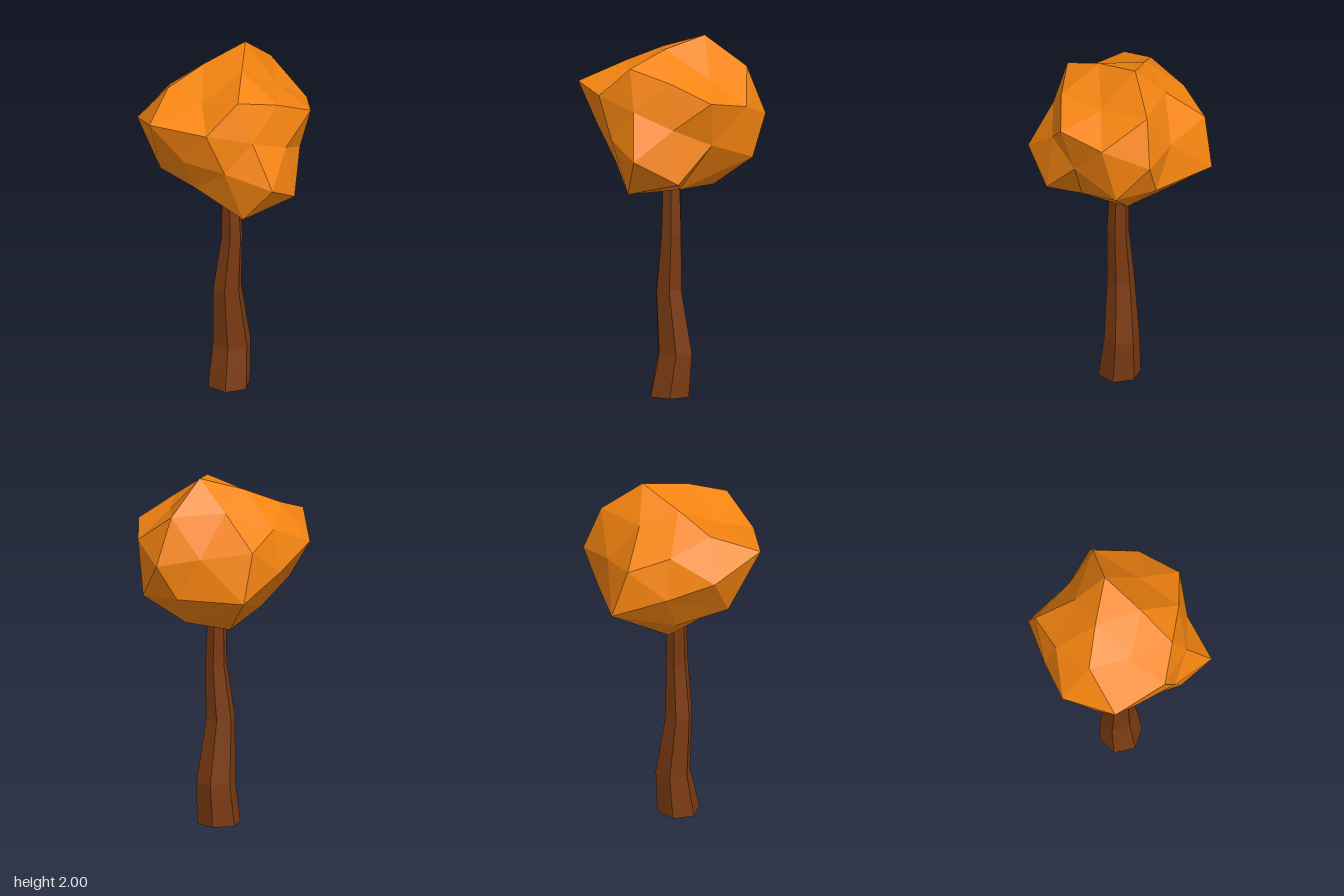
import * as THREE from 'three';
import { ConvexGeometry } from 'three/addons/geometries/ConvexGeometry.js';

// Corners of the faceted crown, spread around its centre
const CROWN_CENTRE = new THREE.Vector3(0, 1.55, 0);
const CROWN_CORNERS = [
  // top
  [0.135, 2, -0.14], [-0.11, 1.915, -0.07], [-0.315, 1.82, 0], [0.017, 1.865, 0.34],
  [0.075, 1.95, 0.115], [0.3, 1.825, -0.3], [0.245, 1.8, 0.26], [0.29, 1.79, -0.01],
  [-0.155, 1.79, 0.17], [0, 1.83, -0.253], [-0.265, 1.73, -0.23],
  // left side
  [0.45, 1.7, 0.155], [0.47, 1.65, -0.11], [0.385, 1.565, -0.36], [0.447, 1.355, -0.185],
  [0.4, 1.455, 0.095], [0.29, 1.55, 0.29],
  // front
  [0.09, 1.64, 0.39], [-0.165, 1.7, 0.39], [0.185, 1.39, 0.495], [-0.065, 1.47, 0.4],
  // right side
  [-0.455, 1.72, 0.237], [-0.473, 1.615, -0.08], [-0.27, 1.5, 0.28], [-0.37, 1.375, 0.08],
  [-0.3, 1.5, -0.28],
  // back
  [-0.085, 1.38, -0.497], [-0.138, 1.65, -0.427], [0.145, 1.6, -0.365], [0.27, 1.37, -0.34],
  // underside
  [0.338, 1.255, 0.3], [0.04, 1.175, 0.38], [-0.035, 1.12, -0.08], [0.21, 1.18, -0.13],
  [-0.2, 1.31, 0.22], [-0.2, 1.27, -0.15], [0.21, 1.19, 0.15],
].map(p => new THREE.Vector3(...p));

// Triangulate the corner directions on a sphere, then push each corner out to its place
function crownGeometry() {
  const dirs = CROWN_CORNERS.map(p => p.clone().sub(CROWN_CENTRE).normalize());
  const geo = new ConvexGeometry(dirs);
  const pos = geo.attributes.position;
  const v = new THREE.Vector3();
  for (let i = 0; i < pos.count; i++) {
    v.fromBufferAttribute(pos, i);
    const k = dirs.findIndex(d => d.distanceTo(v) < 1e-4);
    const p = CROWN_CORNERS[k];
    pos.setXYZ(i, p.x, p.y, p.z);
  }
  geo.computeVertexNormals();
  return geo;
}

// Trunk rings from the ground up: height, centre x, centre z, half width x, half width z
const TRUNK_RINGS = [
  [0, 0.02, 0.018, 0.122, 0.119],
  [0.24, 0.038, -0.005, 0.11, 0.095],
  [0.59, 0.01, 0.015, 0.082, 0.074],
  [0.9, 0.035, 0.02, 0.061, 0.063],
  [1.22, 0.03, 0.015, 0.051, 0.053],
];

// Six-sided column bent and tapered ring by ring
function trunkGeometry() {
  const last = TRUNK_RINGS.length - 1;
  const geo = new THREE.CylinderGeometry(1, 1, last, 6, last, false, -0.33);
  const pos = geo.attributes.position;
  for (let i = 0; i < pos.count; i++) {
    const [y, cx, cz, rx, rz] = TRUNK_RINGS[Math.round(pos.getY(i) + last / 2)];
    pos.setXYZ(i, cx + rx * pos.getX(i), y, cz + rz * pos.getZ(i));
  }
  geo.computeVertexNormals();
  return geo;
}

function part(name, geometry, color) {
  const mesh = new THREE.Mesh(geometry, new THREE.MeshStandardMaterial({ color, flatShading: true }));
  mesh.name = name;
  return mesh;
}

export function createModel() {
  const tree = new THREE.Group();
  tree.name = 'tree';
  tree.add(part('trunk', trunkGeometry(), 0x7a3a12));
  tree.add(part('crown', crownGeometry(), 0xf58410));
  return tree;
}
